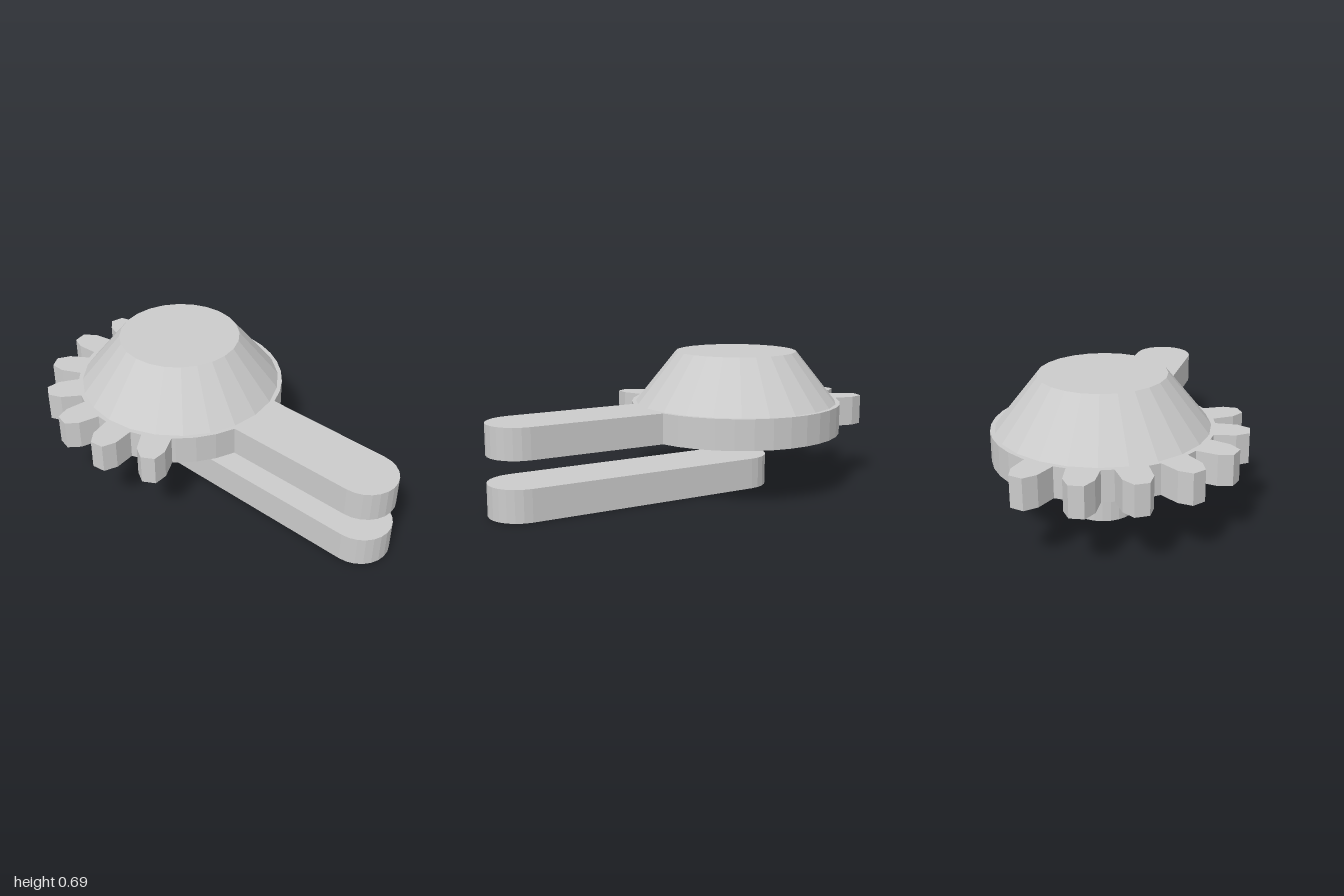
import * as THREE from 'three';

const CX = -0.32, CZ = -0.078;   // wheel axis
const ROOT = 0.53, HALF = 0.153; // wheel radius, half width of the arms
const ARM_END = 1.32 - HALF;     // centre of the rounded arm tip
const DEG = Math.PI / 180;

const polar = (r, deg, x = 0) =>
  new THREE.Vector2(x + r * Math.cos(deg * DEG), r * Math.sin(deg * DEG));

// Points along an arc, both ends included
function arc(r, from, to, steps, x = 0) {
  const pts = [];
  for (let i = 0; i <= steps; i++) pts.push(polar(r, from + (to - from) * i / steps, x));
  return pts;
}

// Flat plate with its outline in x/z, from bottom up to top
function plate(name, points, bottom, top, material) {
  const geo = new THREE.ExtrudeGeometry(new THREE.Shape(points),
    { depth: top - bottom, bevelEnabled: false });
  geo.rotateX(Math.PI / 2).translate(CX, top, CZ);
  const mesh = new THREE.Mesh(geo, material);
  mesh.name = name;
  return mesh;
}

export function createModel() {
  const model = new THREE.Group();
  model.name = 'gearLever';
  const material = new THREE.MeshStandardMaterial({ color: 0xcccccc, flatShading: true });

  // Toothed wheel and upper arm in one outline
  const join = Math.asin(HALF / ROOT) / DEG;
  const firstTooth = 59.2, pitch = 22.5, teeth = 7, base = 8.1;
  const lastTooth = firstTooth + pitch * (teeth - 1);
  const outline = [...arc(ROOT, join, firstTooth - base - 2, 3)];
  for (let i = 0; i < teeth; i++) {
    const a = firstTooth + pitch * i;
    outline.push(
      polar(ROOT, a - base), polar(0.632, a - 6.2), polar(0.69, a - 2.8),
      polar(0.69, a + 2.8), polar(0.632, a + 6.2), polar(ROOT, a + base));
  }
  outline.push(...arc(ROOT, lastTooth + base + 2, 360 - join, 14));
  outline.push(...arc(HALF, -90, 90, 12, ARM_END));
  model.add(plate('gearWheelWithArm', outline, 0.285, 0.434, material));

  // Separate lower arm, rounded at both ends
  const bar = [...arc(HALF, -90, 90, 12, ARM_END), ...arc(HALF, 90, 270, 12, -0.007)];
  model.add(plate('lowerArm', bar, 0, 0.155, material));

  // Faceted conical hub on the wheel
  const hub = new THREE.Mesh(new THREE.CylinderGeometry(0.305, 0.51, 0.256, 24), material);
  hub.name = 'conicalHub';
  hub.position.set(CX, 0.434 + 0.128, CZ);
  model.add(hub);

  return model;
}
